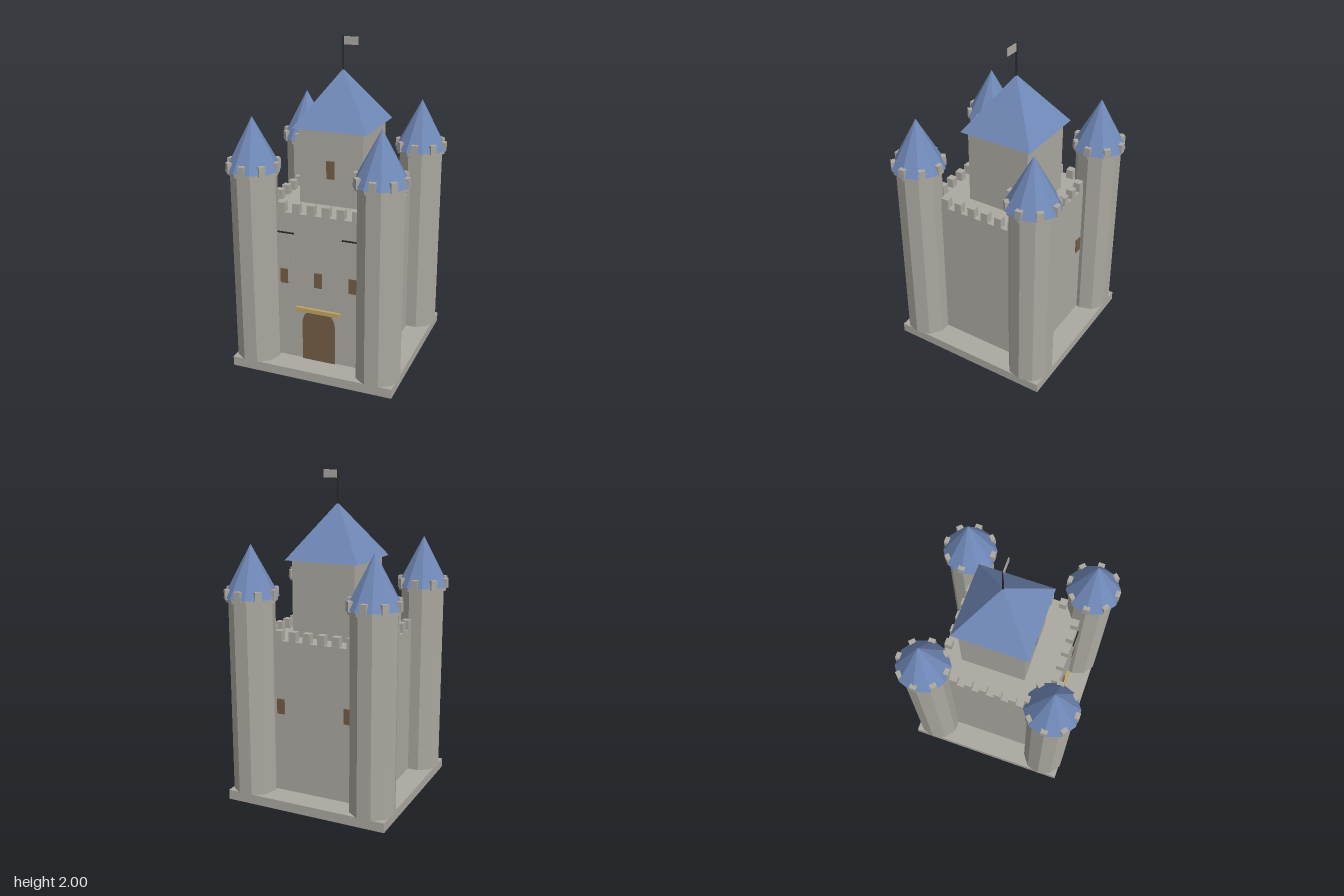
import * as THREE from 'three';

const mat = (name, color) => {
  const m = new THREE.MeshStandardMaterial({ color });
  m.name = name;
  return m;
};

export function createModel() {
  const stone = mat('stone', 0xaba8a0);
  const slate = mat('blueSlate', 0x7089b8);
  const wood = mat('wood', 0x735d45);
  const gold = mat('gold', 0xbda55f);
  const iron = mat('iron', 0x2b2624);

  const castle = new THREE.Group();
  castle.name = 'castle';

  const add = (parent, name, geo, material, x, y, z) => {
    const mesh = new THREE.Mesh(geo, material);
    mesh.name = name;
    mesh.position.set(x, y, z);
    parent.add(mesh);
    return mesh;
  };
  // Box given by its centre in x and z and its bottom and top heights
  const box = (parent, name, material, w, d, x, z, y0, y1) =>
    add(parent, name, new THREE.BoxGeometry(w, y1 - y0, d), material, x, (y0 + y1) / 2, z);
  // Flat-sided prism or cone, with corners on the x axis
  const prism = (parent, name, material, rTop, rBottom, y0, y1, sides = 10, turn = Math.PI / 2) => {
    const geo = new THREE.CylinderGeometry(rTop, rBottom, y1 - y0, sides).rotateY(turn).toNonIndexed();
    geo.computeVertexNormals();
    return add(parent, name, geo, material, 0, (y0 + y1) / 2, 0);
  };

  // Plinth and main walls
  const WALL = 0.368, WALL_TOP = 1.01;
  box(castle, 'plinth', stone, 1.035, 1.035, 0, 0, 0, 0.06);
  box(castle, 'mainWalls', stone, WALL * 2, WALL * 2, 0, 0, 0.06, WALL_TOP);

  // Battlements along all four walls
  const battlements = new THREE.Group();
  battlements.name = 'battlements';
  castle.add(battlements);
  for (let i = -2.5; i <= 2.5; i++) {
    const t = i * 0.094;
    for (const s of [-1, 1]) {
      const edge = s * (WALL - 0.0225);
      box(battlements, 'wallMerlon', stone, 0.046, 0.045, t, edge, WALL_TOP, 1.07);
      box(battlements, 'sideMerlon', stone, 0.045, 0.046, edge, t, WALL_TOP, 1.07);
    }
  }

  // Corner towers with a ring of merlons and a pointed roof
  for (const sx of [-1, 1]) for (const sz of [-1, 1]) {
    const tower = new THREE.Group();
    tower.name = 'cornerTower';
    tower.position.set(sx * 0.393, 0, sz * 0.393);
    castle.add(tower);
    prism(tower, 'towerShaft', stone, 0.139, 0.139, 0.06, 1.246);
    prism(tower, 'towerCornice', stone, 0.155, 0.155, 1.244, 1.27);
    prism(tower, 'towerRoof', slate, 0, 0.166, 1.27, 1.58);
    for (let k = 0; k < 8; k++) {
      const a = k * Math.PI / 4;
      const merlon = box(tower, 'towerMerlon', stone, 0.04, 0.028,
        Math.sin(a) * 0.148, Math.cos(a) * 0.148, 1.262, 1.32);
      merlon.rotation.y = a;
    }
  }

  // Central keep with pyramid roof, pole and flag
  const keep = new THREE.Group();
  keep.name = 'keep';
  keep.position.z = -0.038;
  castle.add(keep);
  box(keep, 'keepWalls', stone, 0.406, 0.406, 0, 0, WALL_TOP, 1.476);
  prism(keep, 'keepRoof', slate, 0, 0.235 * Math.SQRT2, 1.476, 1.805, 4, Math.PI / 4);
  add(keep, 'flagPole', new THREE.CylinderGeometry(0.005, 0.005, 0.22, 6), iron, 0, 1.89, 0);
  box(keep, 'flag', stone, 0.092, 0.004, 0.048, 0, 1.948, 1.996);
  box(keep, 'keepWindow', wood, 0.05, 0.009, 0, 0.2075, 1.18, 1.29);

  // Windows in the front and back walls
  for (const x of [-0.221, 0, 0.221])
    box(castle, 'frontWindow', wood, 0.048, 0.009, x, WALL + 0.0045, 0.556, 0.65);
  for (const x of [-0.221, 0.221])
    box(castle, 'backWindow', wood, 0.048, 0.009, x, -WALL - 0.0045, 0.556, 0.65);

  // Hanging banners on dark rods
  for (const s of [-1, 1]) {
    box(castle, 'banner', stone, 0.12, 0.005, s * 0.221, WALL + 0.0025, 0.57, 0.882);
    const rod = add(castle, 'bannerRod', new THREE.CylinderGeometry(0.005, 0.005, 0.136, 6),
      iron, s * 0.221, 0.885, WALL + 0.004);
    rod.rotation.z = Math.PI / 2;
  }

  // Door with rounded shoulders under a gilded lintel
  const door = new THREE.Shape();
  door.moveTo(-0.105, 0.06);
  door.lineTo(0.105, 0.06);
  door.lineTo(0.105, 0.31);
  door.quadraticCurveTo(0.103, 0.355, 0.072, 0.386);
  door.lineTo(-0.072, 0.386);
  door.quadraticCurveTo(-0.103, 0.355, -0.105, 0.31);
  add(castle, 'door', new THREE.ExtrudeGeometry(door, { depth: 0.009, bevelEnabled: false, curveSegments: 4 }),
    wood, 0, 0, WALL);
  box(castle, 'doorLintel', gold, 0.282, 0.022, 0, WALL + 0.009, 0.386, 0.412);

  return castle;
}
